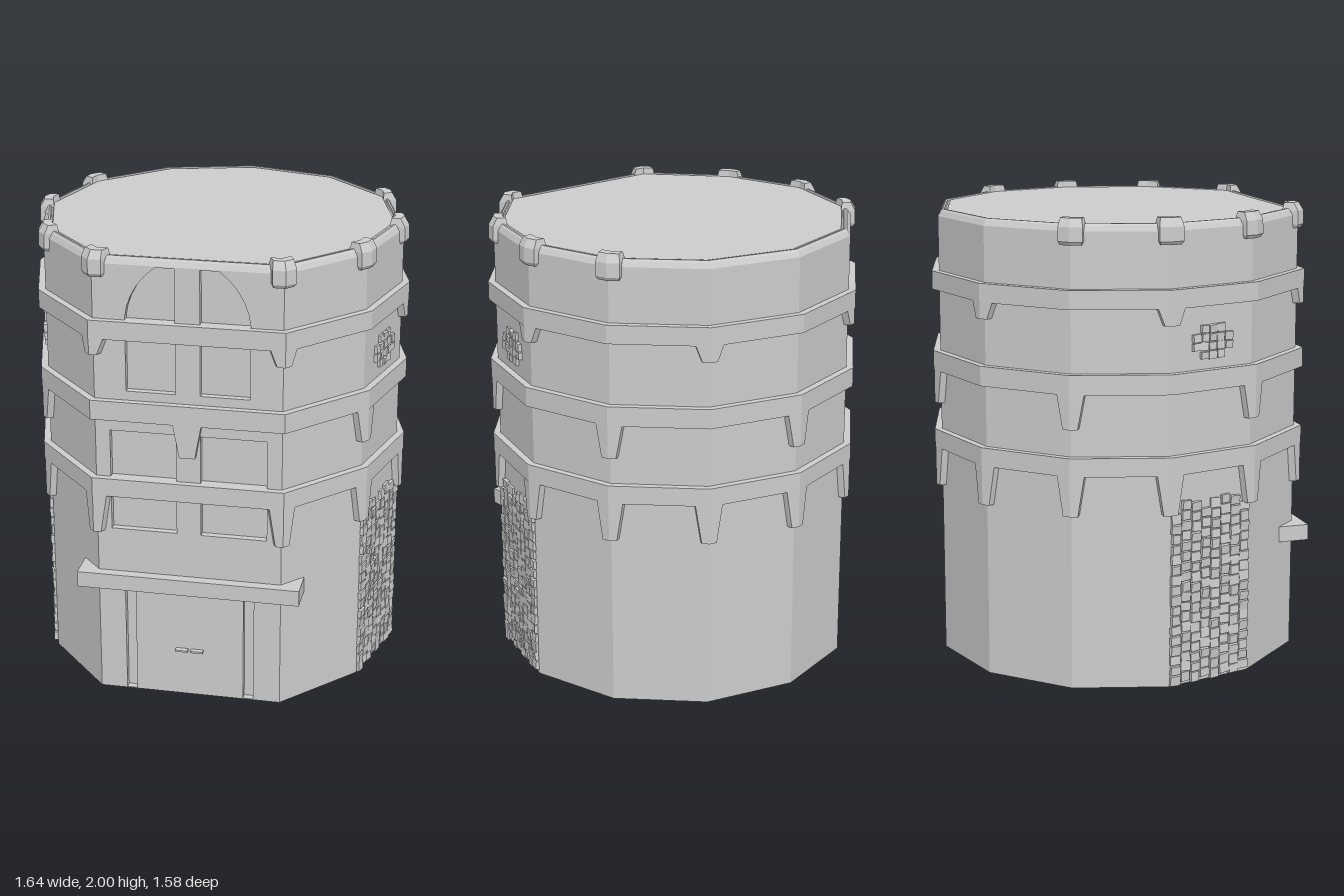
import * as THREE from 'three';
import { mergeGeometries } from 'three/addons/utils/BufferGeometryUtils.js';

const material = new THREE.MeshStandardMaterial({ color: 0xcccccc, flatShading: true });
const FRONT = 0.75;

// Twelve-sided footprint: vertex 0 is the middle of the flat front
const base = Array.from({ length: 12 }, (_, k) => {
  const a = k * Math.PI / 6;
  const z = k === 0 || k === 1 || k === 11 ? FRONT : 0.035 + 0.79 * Math.cos(a);
  return new THREE.Vector2(0.79 * Math.sin(a), z);
});
const dir = (k) => base[(k + 1) % 12].clone().sub(base[k % 12]).normalize();

// Footprint vertex k pushed outward by d, with mitred corners
function corner(k, d) {
  const a = dir(k + 11), b = dir(k);
  const na = new THREE.Vector2(-a.y, a.x).negate(), nb = new THREE.Vector2(-b.y, b.x).negate();
  if (na.dot(base[k].clone().sub(new THREE.Vector2(0, 0.035))) < 0) { na.negate(); nb.negate(); }
  const m = na.clone().add(nb);
  return base[k].clone().addScaledVector(m, d / (1 + na.dot(nb)));
}
const footprint = (d, y) => base.map((_, k) => {
  const p = corner(k, d);
  return [p.x, y, p.y];
});

// Flat-faced skin through rings of points, closed with end caps
function loft(rings, { skip = [], bottom = true, top = true } = {}) {
  const pos = [], n = rings[0].length;
  const tri = (a, b, c) => pos.push(...a, ...b, ...c);
  for (let r = 0; r + 1 < rings.length; r++) {
    for (let i = 0; i < n; i++) {
      if (skip.includes(i)) continue;
      const j = (i + 1) % n, lo = rings[r], hi = rings[r + 1];
      tri(lo[i], lo[j], hi[j]);
      tri(lo[i], hi[j], hi[i]);
    }
  }
  const first = rings[0], last = rings[rings.length - 1];
  for (let i = 1; i + 1 < n; i++) {
    if (bottom) tri(first[0], first[i + 1], first[i]);
    if (top) tri(last[0], last[i], last[i + 1]);
  }
  const g = new THREE.BufferGeometry();
  g.setAttribute('position', new THREE.Float32BufferAttribute(pos, 3));
  g.computeVertexNormals();
  return g;
}

// Angled section wrapped round corner k
function wrap(k, y, half, outer, inner) {
  const a = dir(k + 11), b = dir(k);
  const o = corner(k, outer), i = corner(k, inner);
  return [i, i.clone().addScaledVector(a, -half), o.clone().addScaledVector(a, -half), o,
    o.clone().addScaledVector(b, half), i.clone().addScaledVector(b, half)].map((p) => [p.x, y, p.y]);
}

function rectangle(x0, x1, y0, y1) {
  return new THREE.Path([[x0, y0], [x1, y0], [x1, y1], [x0, y1]].map((p) => new THREE.Vector2(...p)));
}

export function createModel() {
  const model = new THREE.Group();
  const add = (name, geometry, parent = model) => {
    const m = new THREE.Mesh(geometry, material);
    m.name = name;
    parent.add(m);
    return m;
  };
  const box = (name, w, h, d, x, y, z) => add(name, new THREE.BoxGeometry(w, h, d)).position.set(x, y, z);

  // Tower walls, open at the front for the pierced panel
  add('walls', loft([footprint(0, 0), footprint(0, 1.945)], { skip: [0, 11], top: false }));
  add('roof', loft([footprint(0, 1.945), footprint(-0.012, 1.967), footprint(-0.02, 1.975),
    footprint(-0.028, 1.975), footprint(-0.03, 1.966), footprint(-0.036, 1.966), footprint(-0.04, 1.972)],
  { bottom: false }));

  // Front panel with window openings and door grooves
  const panel = new THREE.Shape(rectangle(-0.395, 0.395, 0, 1.945).getPoints());
  for (const s of [-1, 1]) {
    const span = (a, b, y0, y1) => rectangle(s * a, s * b, y0, y1);
    panel.holes.push(span(0.052, 0.333, 0.77, 1.22), span(0.235, 0.28, 0.004, 0.53));
    const arch = new THREE.Path();
    arch.moveTo(s * 0.052, 1.40);
    arch.lineTo(s * 0.26, 1.40);
    arch.lineTo(s * 0.26, 1.72);
    arch.bezierCurveTo(s * 0.25, 1.82, s * 0.19, 1.90, s * 0.13, 1.94);
    arch.lineTo(s * 0.052, 1.94);
    arch.closePath();
    panel.holes.push(arch);
  }
  const panelGeometry = new THREE.ExtrudeGeometry(panel, { depth: 0.03, bevelEnabled: false, curveSegments: 6 });
  add('frontPanel', panelGeometry).position.z = FRONT - 0.03;
  box('recessBacking', 0.79, 1.94, 0.02, 0, 0.972, FRONT - 0.04);

  // Door lintel and handle
  box('doorLintel', 0.96, 0.07, 0.14, 0, 0.535, 0.725);
  for (const s of [-1, 1]) box('doorHandle', 0.055, 0.008, 0.03, s * 0.033, 0.218, FRONT + 0.008);

  // Three bands with tapering brackets at chosen corners
  const bands = [
    { y0: 0.93, y1: 1.01, tip: 0.76, has: (k) => k !== 0 },
    { y0: 1.275, y1: 1.36, tip: 1.13, has: (k) => k % 2 === 0 },
    { y0: 1.63, y1: 1.71, tip: 1.56, has: (k) => k % 2 === 1 },
  ];
  for (const { y0, y1, tip, has } of bands) {
    const group = new THREE.Group();
    group.name = 'band';
    model.add(group);
    add('bandRing', loft([footprint(0.03, y0), footprint(0.03, y1)]), group);
    for (let k = 0; k < 12; k++) {
      if (!has(k)) continue;
      add('bandBracket', loft([wrap(k, tip, 0.033, 0.028, -0.005), wrap(k, y0, 0.06, 0.028, -0.005)]), group);
    }
  }

  // Rim clamps
  for (const k of [1, 2, 3, 4, 8, 9, 10, 11]) {
    add('rimClamp', loft([
      wrap(k, 1.89, 0.046, 0.012, -0.04), wrap(k, 1.905, 0.054, 0.022, -0.042),
      wrap(k, 1.965, 0.054, 0.02, -0.042), wrap(k, 2.0, 0.046, 0.0, -0.038)]));
  }

  // Rough stonework on one face of each side
  let seed = 7;
  const random = () => (seed = (seed * 16807) % 2147483647) / 2147483647;
  const stone = (x, y, w, h) => {
    const g = new THREE.BoxGeometry(w * (0.8 + 0.2 * random()), h * (0.78 + 0.2 * random()), 0.03);
    g.rotateX((random() - 0.5) * 0.25);
    g.rotateY((random() - 0.5) * 0.2);
    g.rotateZ((random() - 0.5) * 0.16);
    return g.translate(x, y, -0.004 + random() * 0.005);
  };
  for (const k of [2, 9]) {
    const mid = base[k].clone().add(base[k + 1]).multiplyScalar(0.5);
    const along = dir(k);
    const group = new THREE.Group();
    group.name = 'stonework';
    group.position.set(mid.x, 0, mid.y);
    group.rotation.y = Math.atan2(-along.y, along.x);
    model.add(group);
    const lower = [], upper = [];
    for (let c = 0; c < 8; c++) {
      const x = (c - 3.5) * 0.05;
      const rows = [0, 3, 7].includes(c) ? 17 : 18;
      for (let r = 0; r < rows; r++) {
        lower.push(stone(x, 0.024 + r * 0.0445 + (c % 2) * 0.012, 0.05, 0.0445));
      }
    }
    for (let c = 0; c < 5; c++) {
      for (let r = 0; r < 4; r++) {
        if ((c === 0 || c === 4) && (r === 0 || r === 3)) continue;
        upper.push(stone((c - 2) * 0.04, 1.42 + r * 0.037, 0.04, 0.037));
      }
    }
    add('lowerStones', mergeGeometries(lower), group);
    add('upperStones', mergeGeometries(upper), group);
  }
  return model;
}
